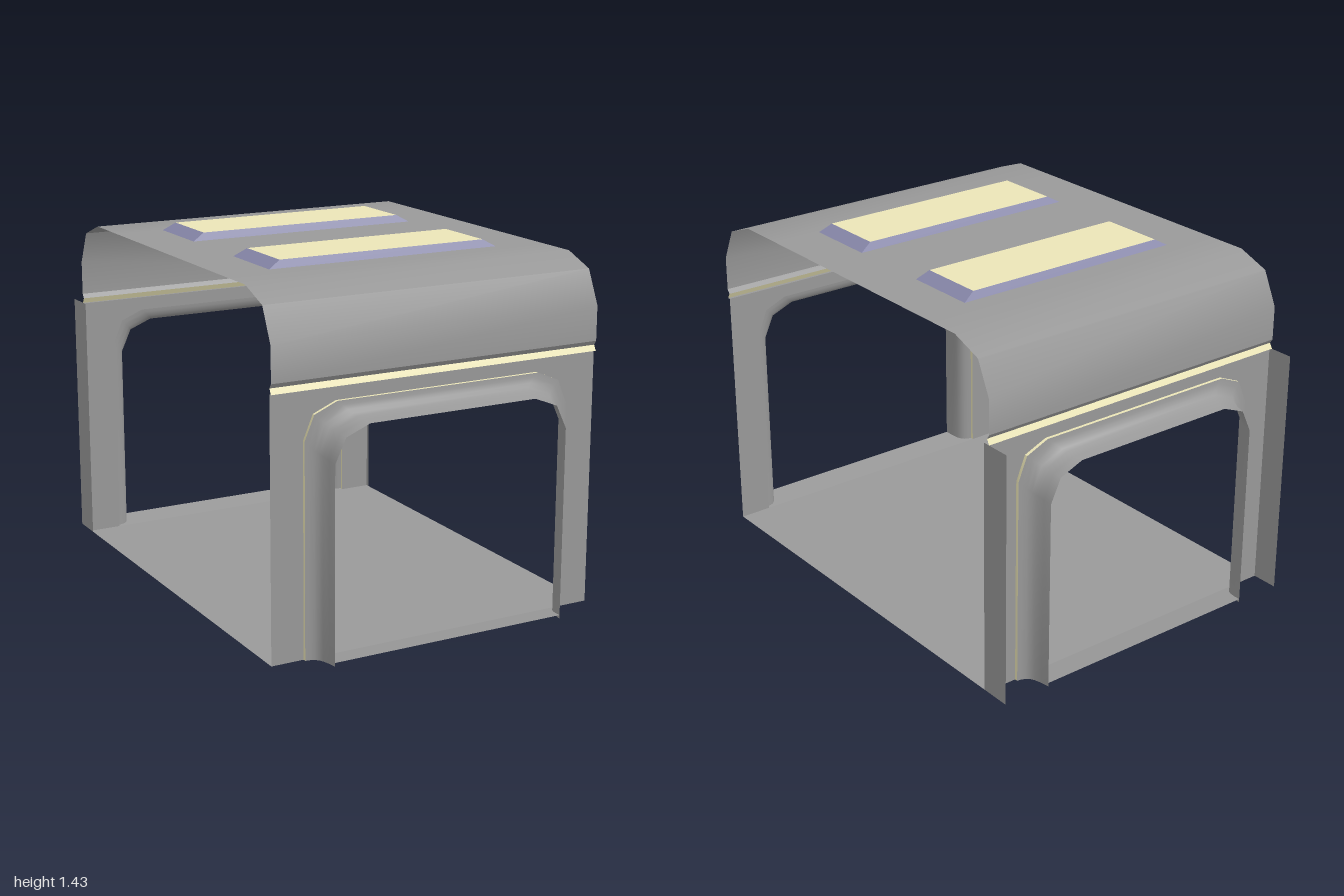
import * as THREE from 'three';
import { toCreasedNormals } from 'three/addons/utils/BufferGeometryUtils.js';

const W = 0.71;        // half width
const WALL = 0.885;    // wall plane
const FACE = 0.898;    // plane of the eave and the door frame's rim
const ROOF = 1.405;    // flat roof height
const mat = (color) => new THREE.MeshStandardMaterial({ color, side: THREE.DoubleSide });
const grey = mat(0x999999), light = mat(0xebe5b7), blue = mat(0x8a8aad);

// Surface through rows of points; each row has the same count
function loft(rows, crease = 0.75) {
  const n = rows[0].length, index = [];
  for (let r = 0; r < rows.length - 1; r++) {
    for (let i = 0; i < n - 1; i++) {
      const a = r * n + i, b = a + 1, c = a + n, d = c + 1;
      index.push(a, b, d, a, d, c);
    }
  }
  const g = new THREE.BufferGeometry();
  g.setAttribute('position', new THREE.Float32BufferAttribute(rows.flat(2), 3));
  g.setIndex(index);
  return toCreasedNormals(g, crease);
}

function add(parent, name, geometry, material) {
  const mesh = new THREE.Mesh(geometry, material);
  mesh.name = name;
  parent.add(mesh);
  return mesh;
}

// Strip along x following a [y, z] profile
const band = (profile) => loft(profile.map(([y, z]) => [[-W, y, z], [W, y, z]]));

// Doorway outlines, right half mirrored to the left
const arch = (half) => [...half, ...[...half].reverse().map(([x, y]) => [-x, y])];
const OUTER = arch([[0.575, 0], [0.575, 0.85], [0.535, 0.945], [0.44, 0.985]]);
const INNER = arch([[0.505, 0], [0.505, 0.78], [0.46, 0.875], [0.36, 0.915]]);
// Cove of the door frame: [share of the way inward, z]
const COVE = [[0, FACE], [0.24, 0.9], [0.5, 0.907], [0.68, 0.919], [0.8, 0.935], [0.92, 0.965], [1, 1]];

function rectPath(x, z0, z1) {
  return [[-x, z0], [x, z0], [x, z1], [-x, z1]].map(([a, b]) => new THREE.Vector2(a, b));
}

// One end: wall, light strips, door frame, sill and eave, facing +z
function buildSide(name) {
  const side = new THREE.Group();
  side.name = name;

  // Wall with doorway cut out
  const outline = [[-W, 0], [-W, 1.04], [W, 1.04], [W, 0], ...OUTER];
  const shape = new THREE.Shape(outline.map(([x, y]) => new THREE.Vector2(x, y)));
  add(side, 'wall', new THREE.ShapeGeometry(shape).translate(0, 0, WALL), grey);

  // V-groove under the eave: ledge, upward-leaning light and overhanging lip
  add(side, 'wallLedge', band([[1.04, WALL], [1.04, FACE]]), grey);
  add(side, 'wallLight', band([[1.04, FACE], [1.062, 0.886]]), light);
  add(side, 'eaveLip', band([[1.062, 0.886], [1.08, FACE]]), grey);
  // Eave blending smoothly into the roof
  add(side, 'eave', band([[1.08, FACE], [1.22, FACE], [1.355, 0.835], [ROOF, 0.70], [ROOF, 0.5]]), grey);

  // Light strip around the doorway and the coved frame
  add(side, 'doorLight', loft([WALL, FACE].map((z) => OUTER.map(([x, y]) => [x, y, z]))), light);
  add(side, 'doorFrame', loft(COVE.map(([t, z]) => OUTER.map(([x, y], i) =>
    [x + (INNER[i][0] - x) * t, y + (INNER[i][1] - y) * t, z])), 0.85), grey);

  // Sill rising gently outward between the jambs
  const sill = [[0, WALL], ...COVE].map(([t, z]) => {
    const x = 0.575 - 0.07 * t, y = 0.015 * (z - WALL) / (1 - WALL);
    return [[-x, y, z], [x, y, z]];
  });
  add(side, 'sill', loft(sill), grey);
  return side;
}

// Raised skylight: sloping frame and glowing pane
function buildSkylight(z) {
  const sky = new THREE.Group();
  sky.name = 'skylight';
  const ring = (x, d, y) => [[-x, y, d], [x, y, d], [x, y, -d], [-x, y, -d], [-x, y, d]];
  add(sky, 'skylightFrame', loft([ring(0.505, 0.153, 0), ring(0.453, 0.137, 0.03)], 0.2), blue);
  add(sky, 'skylightPane', new THREE.PlaneGeometry(0.906, 0.274).rotateX(-Math.PI / 2).translate(0, 0.03, 0), light);
  sky.position.set(0, ROOF, z);
  return sky;
}

export function createModel() {
  const model = new THREE.Group();
  model.name = 'corridorSection';

  add(model, 'floor', new THREE.PlaneGeometry(2 * W, 2 * WALL).rotateX(-Math.PI / 2), grey);

  const front = buildSide('frontSide');
  const back = buildSide('backSide');
  back.rotation.y = Math.PI;
  model.add(front, back);

  // Thin end flanges on the back wall only
  for (const s of [-1, 1]) {
    const flange = new THREE.PlaneGeometry(0.13, 1.04).rotateY(s * Math.PI / 2);
    add(model, 'backFlange', flange, grey).position.set(s * W, 0.52, -0.933);
  }

  // Flat roof with skylight openings
  const roof = new THREE.Shape(rectPath(W, -0.5, 0.5));
  for (const z of [-0.335, 0.335]) {
    roof.holes.push(new THREE.Path(rectPath(0.505, z - 0.153, z + 0.153).reverse()));
    model.add(buildSkylight(z));
  }
  add(model, 'roof', new THREE.ShapeGeometry(roof).rotateX(-Math.PI / 2).translate(0, ROOF, 0), grey);

  return model;
}
